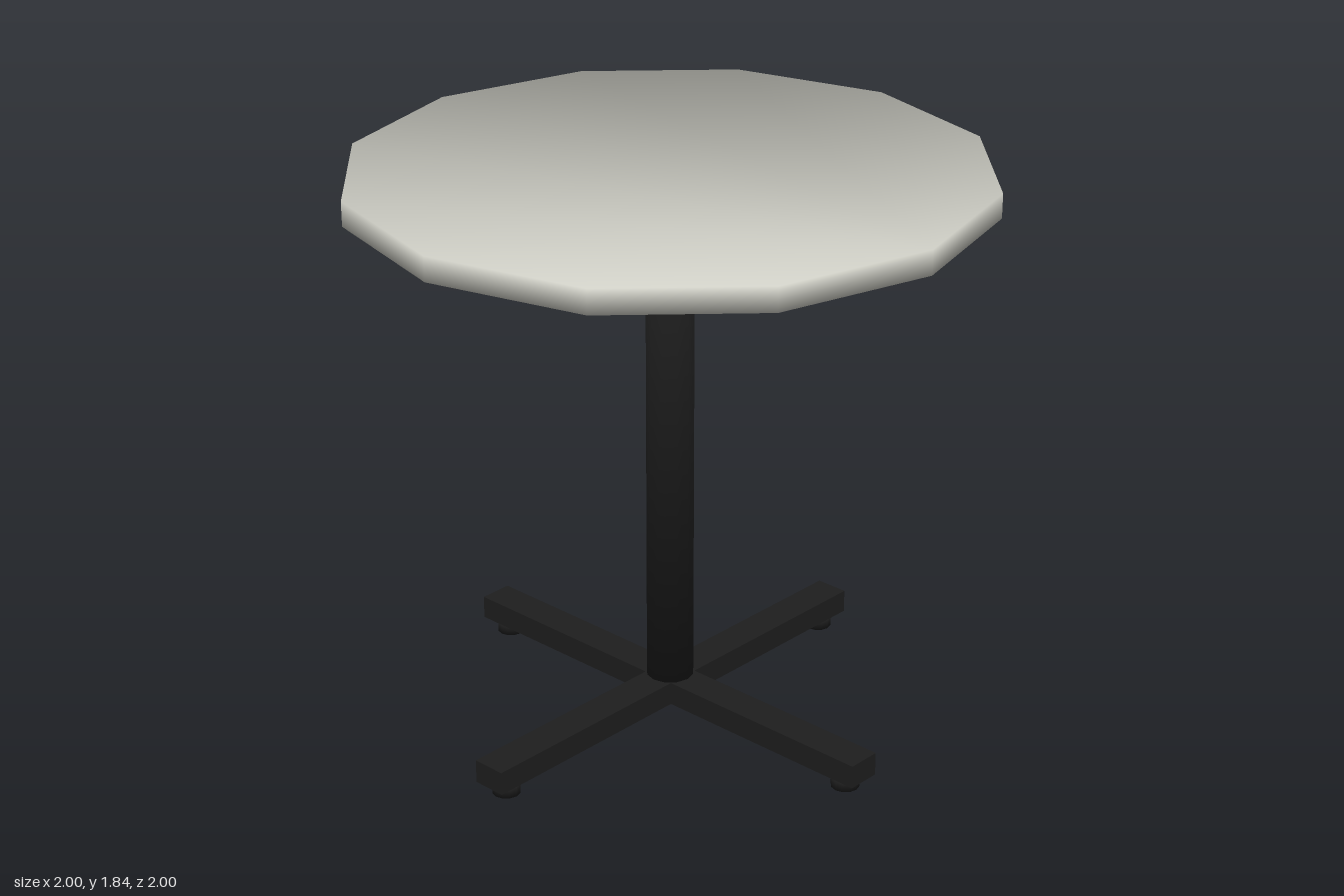
import * as THREE from 'three';

// Upright prism from y0 to y1 with corner normals shared by caps and sides
function smoothPrism(radius, y0, y1, sides) {
  const pos = [], nor = [], idx = [];
  const n = Math.SQRT1_2;
  for (const [y, dir] of [[y0, -n], [y1, n]]) {
    for (let i = 0; i < sides; i++) {
      const a = (i / sides) * Math.PI * 2;
      pos.push(radius * Math.sin(a), y, radius * Math.cos(a));
      nor.push(n * Math.sin(a), dir, n * Math.cos(a));
    }
  }
  for (let i = 0; i < sides; i++) {
    const j = (i + 1) % sides;
    idx.push(i, j, sides + j, i, sides + j, sides + i);
    // Caps fan out from the first corner
    if (i > 0 && j > 0) idx.push(0, j, i, sides, sides + i, sides + j);
  }
  const g = new THREE.BufferGeometry();
  g.setAttribute('position', new THREE.Float32BufferAttribute(pos, 3));
  g.setAttribute('normal', new THREE.Float32BufferAttribute(nor, 3));
  g.setIndex(idx);
  return g;
}

export function createModel() {
  const model = new THREE.Group();
  model.name = 'pedestalTable';

  const topMat = new THREE.MeshStandardMaterial({ color: 0xcfcfc6 });
  topMat.name = 'pale grey top';
  const metalMat = new THREE.MeshStandardMaterial({ color: 0x1e1e1e });
  metalMat.name = 'black metal';

  const add = (name, geometry, material) => {
    const mesh = new THREE.Mesh(geometry, material);
    mesh.name = name;
    model.add(mesh);
    return mesh;
  };

  // Twelve-sided top, the plate below it and the post
  add('tableTop', smoothPrism(1, 1.765, 1.843, 12), topMat);
  add('mountingPlate', smoothPrism(0.333, 1.712, 1.757, 12), metalMat);
  add('post', smoothPrism(0.077, 0.06, 1.765, 12), metalMat);

  // Crossed base bars
  add('baseBarX', new THREE.BoxGeometry(1.63, 0.077, 0.112).translate(0, 0.081, 0), metalMat);
  add('baseBarZ', new THREE.BoxGeometry(0.112, 0.077, 1.63).translate(0, 0.081, 0), metalMat);

  // A levelling foot near the end of each arm
  for (let i = 0; i < 4; i++) {
    const a = (i * Math.PI) / 2;
    const foot = add('foot' + (i + 1), smoothPrism(0.045, 0, 0.037, 12), metalMat);
    foot.position.set(0.742 * Math.cos(a), 0, 0.742 * Math.sin(a));
  }
  return model;
}
